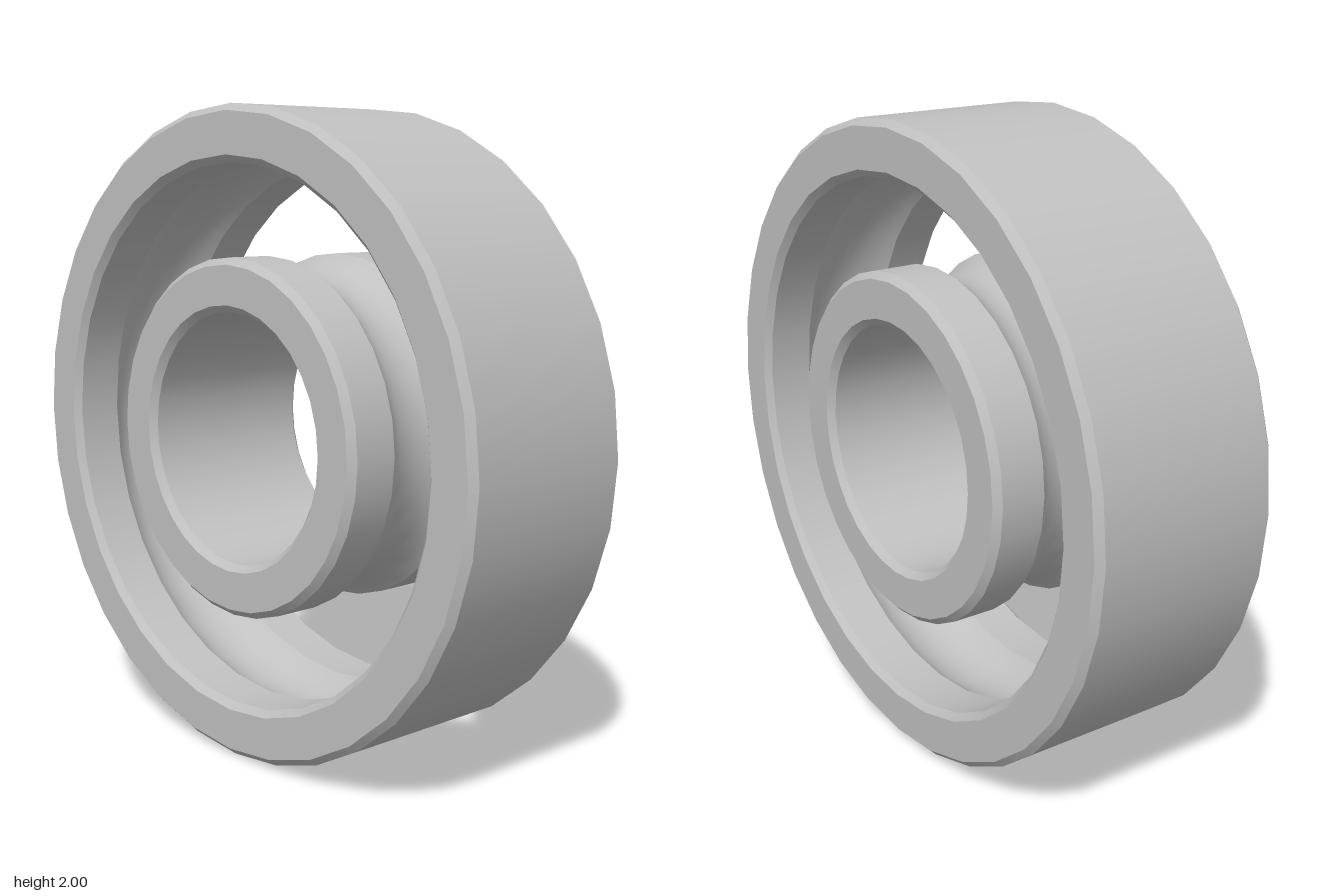
import * as THREE from 'three';
import { mergeGeometries } from 'three/addons/utils/BufferGeometryUtils.js';

const SEGMENTS = 32;
const HALF = 0.308;    // half of the bearing width
const CHAMFER = 0.021;
const PITCH = 0.69;    // radius of the raceway centre circle
const GROOVE = 0.2;    // raceway arc radius

// Each profile piece is lathed on its own, so edges between pieces stay sharp.
function ringGeometry(pieces) {
  return mergeGeometries(pieces.map((piece) =>
    new THREE.LatheGeometry(piece.map(([r, a]) => new THREE.Vector2(r, a)), SEGMENTS)));
}

// Raceway arc from axial position -w to w; side is +1 for the outer ring, -1 for the inner ring.
function raceway(shoulder, side) {
  const max = Math.acos(Math.abs(shoulder - PITCH) / GROOVE);
  const points = [];
  for (let i = 0; i <= 12; i++) {
    const t = -max + (2 * max * i) / 12;
    points.push([PITCH + side * GROOVE * Math.cos(t), GROOVE * Math.sin(t)]);
  }
  return points;
}

// Chamfered ring; the grooved wall is the inner one (side +1) or the outer one (side -1).
function bearingRing(inner, outer, side) {
  const h = HALF, c = CHAMFER, e = HALF - CHAMFER;
  const shoulder = side > 0 ? inner : outer;
  const arc = raceway(shoulder, side);
  const w = arc[arc.length - 1][1];
  const grooved = [[[shoulder, -e], [shoulder, -w]], arc, [[shoulder, w], [shoulder, e]]];
  const outerWall = side > 0 ? [[[outer, -e], [outer, e]]] : grooved;
  const innerWall = side > 0
    ? grooved.map((piece) => [...piece].reverse())
    : [[[inner, e], [inner, -e]]];
  return ringGeometry([
    ...outerWall,
    [[outer, e], [outer - c, h]],
    [[outer - c, h], [inner + c, h]],
    [[inner + c, h], [inner, e]],
    ...innerWall,
    [[inner, -e], [inner + c, -h]],
    [[inner + c, -h], [outer - c, -h]],
    [[outer - c, -h], [outer, -e]],
  ]);
}

export function createModel() {
  const steel = new THREE.MeshStandardMaterial({ color: 0xc0c0c0 });
  steel.name = 'steel';

  const bearing = new THREE.Group();
  bearing.name = 'bearing';

  const addRing = (name, inner, outer, side) => {
    const mesh = new THREE.Mesh(bearingRing(inner, outer, side), steel);
    mesh.name = name;
    mesh.rotation.z = -Math.PI / 2; // lathe axis onto x
    mesh.position.y = 1;
    bearing.add(mesh);
  };

  addRing('outerRing', 0.83, 1, 1);
  addRing('innerRing', 0.387, 0.55, -1);
  return bearing;
}
